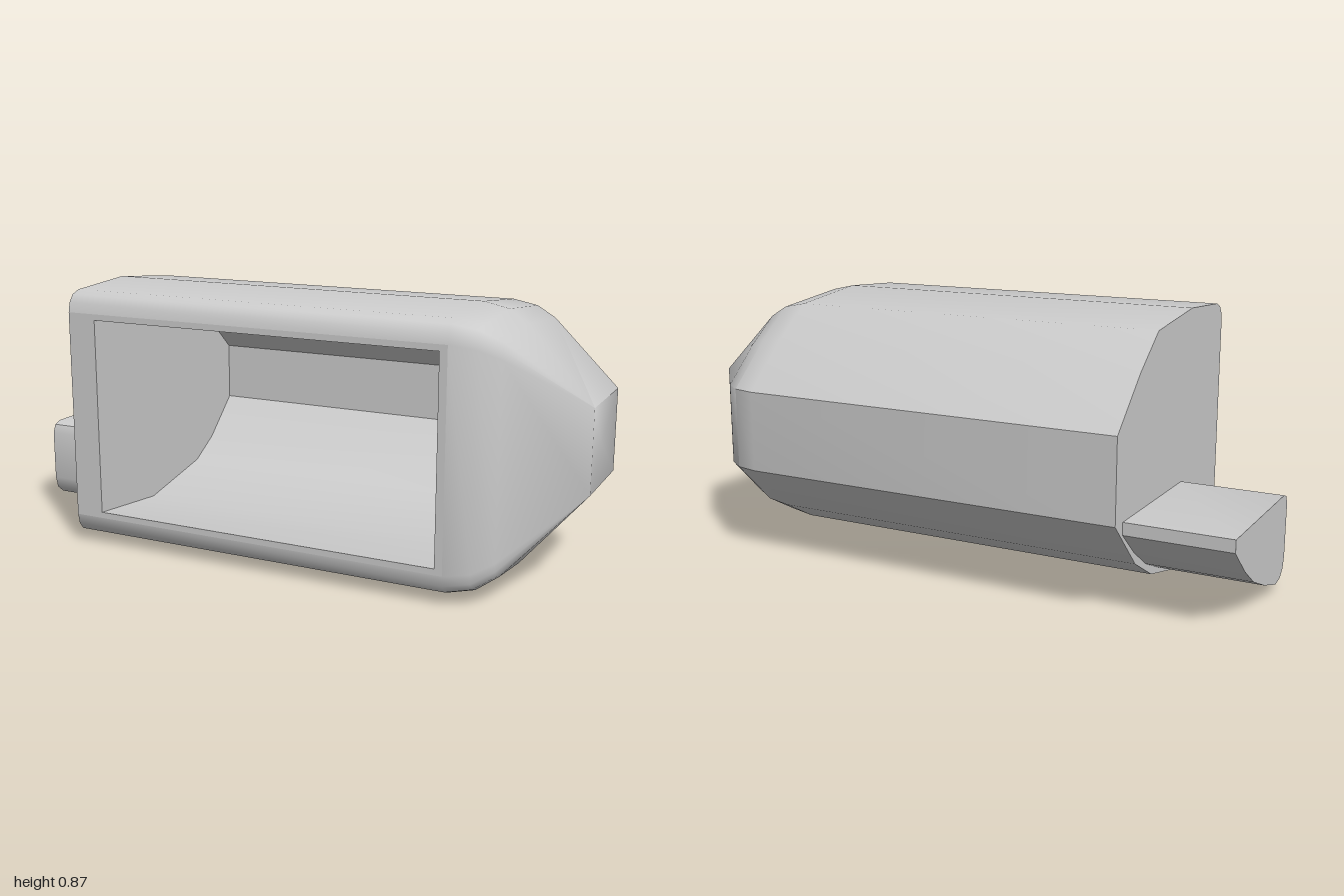
import * as THREE from 'three';
import { toCreasedNormals } from 'three/addons/utils/BufferGeometryUtils.js';

const material = new THREE.MeshStandardMaterial({ color: 0xcccccc, roughness: 0.8 });

// Lofts rings of [x, y, z] points, listed over the top towards the back, from -x to +x.
// frontOpen: number of spans whose closing (front) strip is left out.
function loft(rings, { inside = false, frontOpen = 0, crease = 0.75 } = {}) {
  const pos = [];
  const tri = (a, b, c) => {
    const [va, vb, vc] = [a, b, c].map((p) => new THREE.Vector3(...p));
    if (vb.sub(va).cross(vc.sub(va)).length() < 1e-7) return;
    pos.push(...a, ...(inside ? [...c, ...b] : [...b, ...c]));
  };
  const n = rings[0].length;
  for (let i = 0; i < rings.length - 1; i++) {
    const count = i < frontOpen ? n - 1 : n;
    for (let j = 0; j < count; j++) {
      const k = (j + 1) % n;
      const [a, b, c, d] = [rings[i][j], rings[i][k], rings[i + 1][k], rings[i + 1][j]];
      tri(a, d, b);
      tri(b, d, c);
    }
  }
  // Flat caps at both ends
  const cap = (ring, reverse) => {
    const center = [0, 1, 2].map((c) => ring.reduce((s, p) => s + p[c], 0) / n);
    ring.forEach((p, j) => {
      const q = ring[(j + 1) % n];
      reverse ? tri(center, q, p) : tri(center, p, q);
    });
  };
  cap(rings[0], false);
  cap(rings[rings.length - 1], true);
  const geometry = new THREE.BufferGeometry();
  geometry.setAttribute('position', new THREE.Float32BufferAttribute(pos, 3));
  return toCreasedNormals(geometry, crease);
}

const ringAt = (x, profile) => profile.map(([z, y]) => [x, y, z]);

function addMesh(group, name, geometry) {
  const mesh = new THREE.Mesh(geometry, material);
  mesh.name = name;
  group.add(mesh);
}

export function createModel() {
  const group = new THREE.Group();
  group.name = 'housing';

  // Side profiles as [z, y]
  const outer = [
    [0.457, 0.79], [0.45, 0.822], [0.432, 0.846], [0.4, 0.858], [0.15, 0.873],
    [-0.15, 0.84], [-0.29, 0.735], [-0.457, 0.58], [-0.457, 0.31], [-0.29, 0.147],
    [-0.15, 0.07], [0.15, 0], [0.4, 0.03], [0.432, 0.042], [0.45, 0.066], [0.457, 0.1],
  ];
  const inner = [
    [0.457, 0.77], [0.15, 0.785], [-0.15, 0.755], [-0.26, 0.67], [-0.4, 0.545],
    [-0.4, 0.345], [-0.26, 0.215], [-0.15, 0.15], [0.15, 0.09], [0.457, 0.12],
  ];
  const stub = [
    [0.14, 0.27], [0.128, 0.3], [0.1, 0.31], [-0.4, 0.31], [-0.4, 0.27],
    [-0.3, 0.185], [-0.2, 0.12], [-0.08, 0.07], [0.05, 0.03], [0.1, 0.035],
    [0.13, 0.06], [0.14, 0.1],
  ];

  // Outer shell, narrowing on its left end to a small rectangle
  const { clamp, lerp } = THREE.MathUtils;
  const taper = [[-0.66, 0], [0.65, 0], [0.73, 0.06], [0.79, 0.2], [1, 1]];
  const rings = taper.map(([x, t]) => ringAt(x, outer.map(([z, y]) => [
    lerp(z, clamp(z, -0.15, 0.15), t),
    lerp(y, clamp(y, 0.31, 0.58), t),
  ])));
  addMesh(group, 'outerShell', loft(rings, { frontOpen: 1 }));

  // Flat rim around the front opening
  const rect = (target, x0, x1, y0, y1) => target
    .moveTo(x0, y0).lineTo(x1, y0).lineTo(x1, y1).lineTo(x0, y1).closePath();
  const rim = rect(new THREE.Shape(), -0.66, 0.65, 0.1, 0.79);
  rim.holes.push(rect(new THREE.Path(), -0.56, 0.625, 0.12, 0.77));
  addMesh(group, 'openingRim', new THREE.ShapeGeometry(rim).translate(0, 0, 0.457));

  // Hollow interior, seen from inside
  addMesh(group, 'innerCavity',
    loft([ringAt(-0.56, inner), ringAt(0.625, inner)], { inside: true, frontOpen: 1 }));

  // Low stub on the right end
  addMesh(group, 'sideStub', loft([ringAt(-1, stub), ringAt(-0.65, stub)]));

  return group;
}
